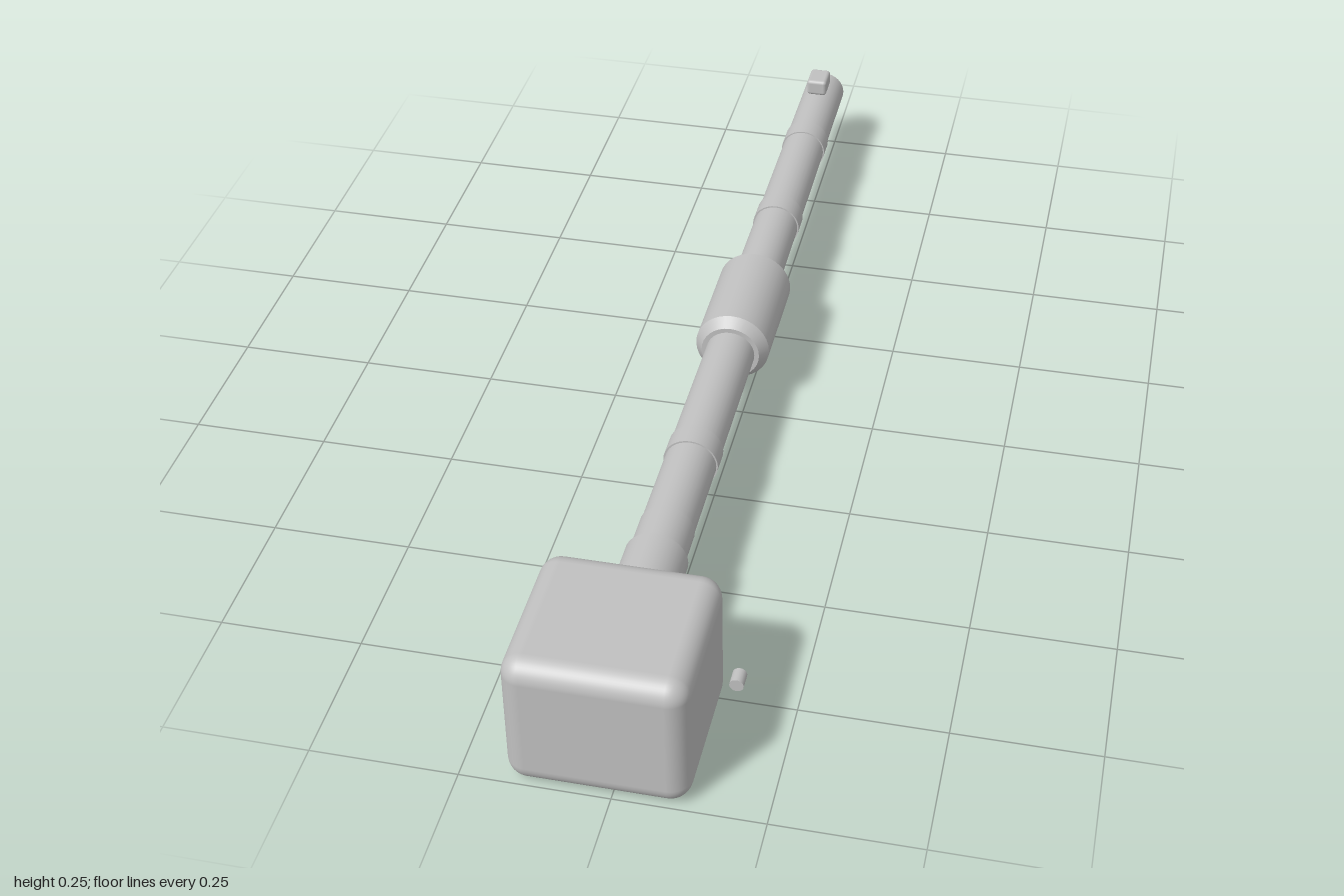
import * as THREE from 'three';
import { RoundedBoxGeometry } from 'three/addons/geometries/RoundedBoxGeometry.js';

export function createModel() {
  const model = new THREE.Group();
  const grey = new THREE.MeshStandardMaterial({ color: 0xc0c0c0 });
  grey.name = 'plain grey';
  const axisX = -0.026, axisY = 0.13;

  const add = (name, geometry, x, y, z) => {
    const mesh = new THREE.Mesh(geometry, grey);
    mesh.name = name;
    mesh.position.set(x, y, z);
    model.add(mesh);
    return mesh;
  };

  // Round section along z, from back to front
  const rod = (name, zBack, zFront, rBack, rFront, x = axisX, y = axisY, sides = 32) => {
    const geometry = new THREE.CylinderGeometry(rFront, rBack, zFront - zBack, sides);
    geometry.rotateX(Math.PI / 2);
    return add(name, geometry, x, y, (zBack + zFront) / 2);
  };

  // Rounded head block and the small pin beside it
  add('head', new RoundedBoxGeometry(0.3, 0.254, 0.284, 5, 0.036), -0.025, 0.127, 0.858);
  rod('sidePin', 0.783, 0.811, 0.012, 0.012, 0.161, 0.097, 20);

  // Shaft
  rod('collar', 0.578, 0.73, 0.055, 0.055);
  rod('frontShaft', -0.03, 0.6, 0.046, 0.047);
  rod('rearShaft', -1, -0.24, 0.042, 0.045);

  // Middle sleeve with chamfered ends
  rod('sleeve', -0.24, -0.03, 0.07, 0.07);
  rod('sleeveFrontChamfer', -0.03, -0.01, 0.07, 0.055);
  rod('sleeveRearChamfer', -0.26, -0.24, 0.055, 0.07);

  // Low bands around the shaft
  for (const [z, width, r] of [[0.54, 0.08, 0.0485], [0.3, 0.045, 0.0495], [-0.47, 0.045, 0.047], [-0.765, 0.045, 0.0455]]) {
    rod('band', z - width / 2, z + width / 2, r, r);
  }

  // Small block on top of the rear end
  add('rearBlock', new RoundedBoxGeometry(0.042, 0.034, 0.057, 2, 0.007), -0.028, 0.188, -0.932);

  return model;
}
